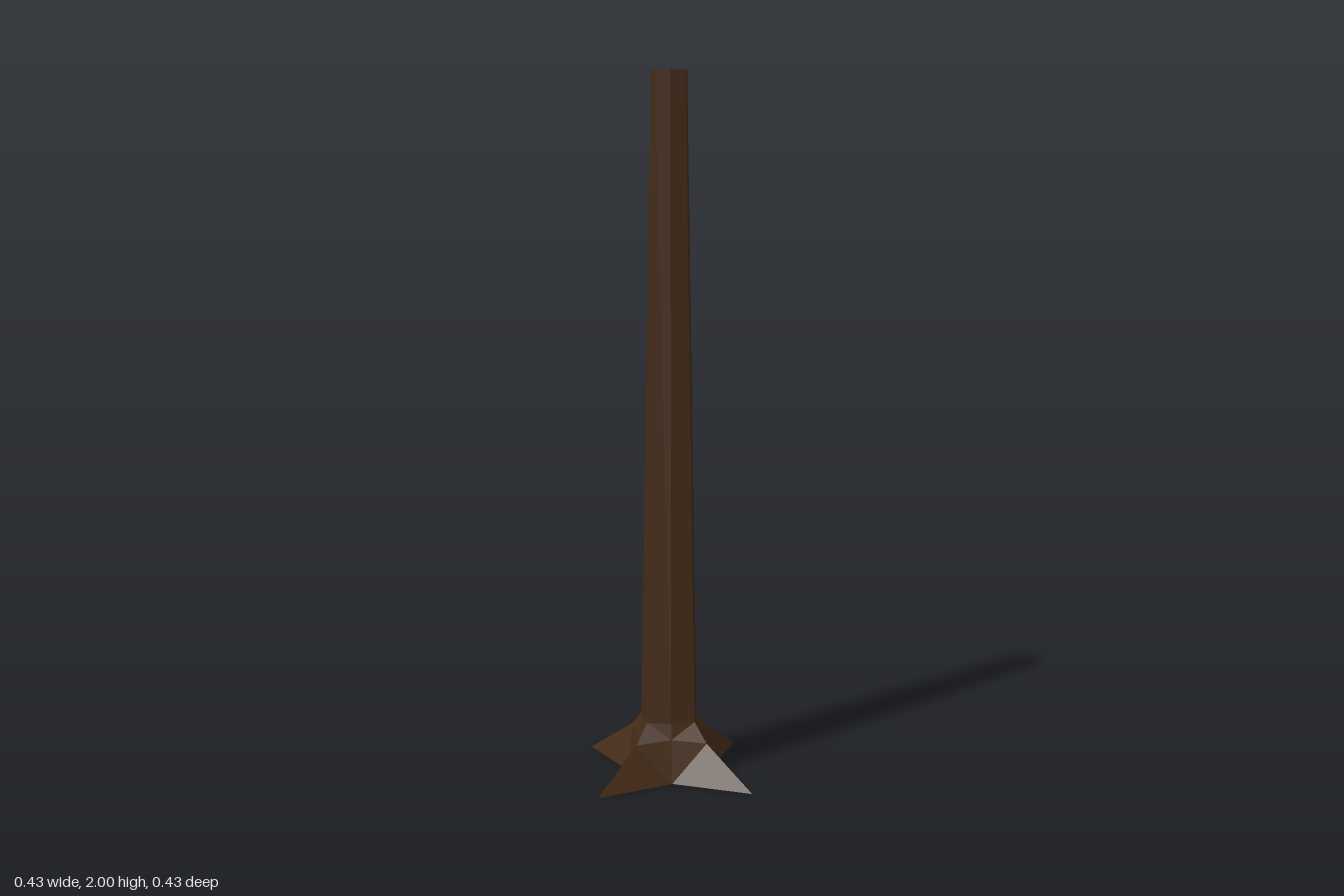
import * as THREE from 'three';

const bark = new THREE.MeshStandardMaterial({ color: 0x452c18, flatShading: true, side: THREE.DoubleSide });

// Eight-sided ring: points on the axes at distance a, corner points at (d, d)
function ring(yAxis, a, yCorner, d) {
  return Array.from({ length: 8 }, (_, i) => {
    const t = (i * Math.PI) / 4;
    const r = i % 2 ? d * Math.SQRT2 : a;
    return new THREE.Vector3(Math.sin(t) * r, i % 2 ? yCorner : yAxis, Math.cos(t) * r);
  });
}

// Faceted skin through a stack of rings, optionally closed on top
function loft(rings, capped) {
  const pos = [];
  const tri = (...pts) => pts.forEach((p) => pos.push(p.x, p.y, p.z));
  for (let k = 0; k < rings.length - 1; k++) {
    const lo = rings[k], hi = rings[k + 1];
    for (let i = 0; i < 8; i++) {
      const j = (i + 1) % 8;
      // Diagonals start at the corners so both flanks of a root match
      if (i % 2) {
        tri(lo[i], lo[j], hi[i]);
        tri(lo[j], hi[j], hi[i]);
      } else {
        tri(lo[i], lo[j], hi[j]);
        tri(lo[i], hi[j], hi[i]);
      }
    }
  }
  if (capped) {
    const top = rings[rings.length - 1];
    for (let i = 1; i < 7; i++) tri(top[0], top[i], top[i + 1]);
  }
  const geo = new THREE.BufferGeometry();
  geo.setAttribute('position', new THREE.Float32BufferAttribute(pos, 3));
  geo.computeVertexNormals();
  return geo;
}

export function createModel() {
  const group = new THREE.Group();
  const add = (name, geo) => {
    const mesh = new THREE.Mesh(geo, bark);
    mesh.name = name;
    group.add(mesh);
  };

  const collar = ring(0.165, 0.08, 0.165, 0.068);

  // Tapering trunk with a flat cut top
  add('trunk', loft([collar, ring(2, 0.05, 2, 0.042)], true));

  // Four pointed roots flaring out, open underneath; one bulges a little further
  const knees = ring(0.12, 0.09, 0.11, 0.1);
  knees[3].set(0.13, 0.085, -0.11);
  add('roots', loft([ring(0, 0.12, 0, 0.217), knees, collar], false));

  return group;
}
